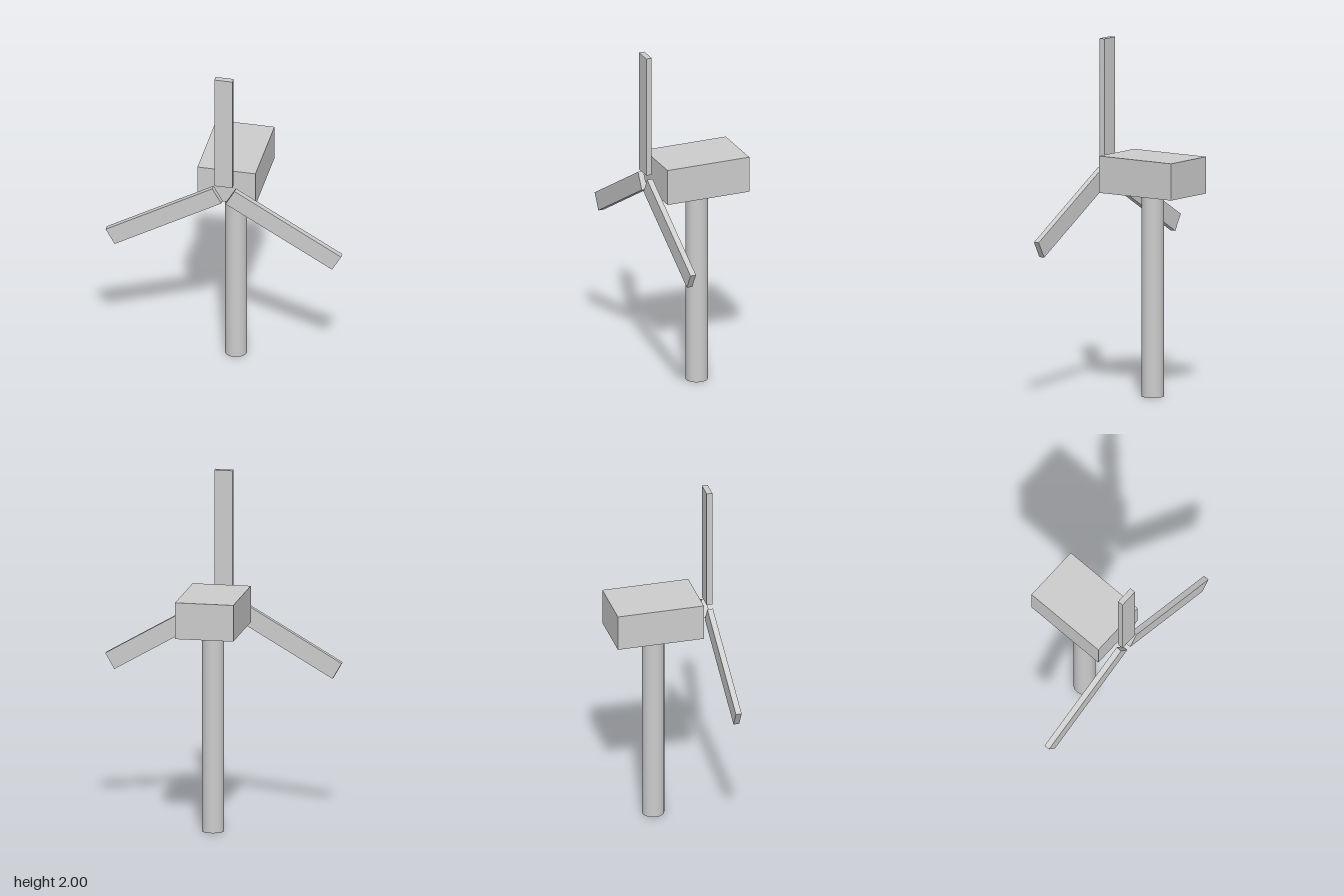
import * as THREE from 'three';

export function createModel() {
  const model = new THREE.Group();
  model.name = 'windTurbine';
  const grey = new THREE.MeshStandardMaterial({ color: 0xcccccc });
  grey.name = 'light grey';

  const HUB_Y = 1.252;
  const BODY_Z = -0.04;

  const add = (parent, name, geometry, x, y, z) => {
    const mesh = new THREE.Mesh(geometry, grey);
    mesh.name = name;
    mesh.position.set(x, y, z);
    parent.add(mesh);
    return mesh;
  };

  // Round tower, standing under the middle of the nacelle
  const towerHeight = 1.148;
  add(model, 'tower', new THREE.CylinderGeometry(0.0625, 0.0625, towerHeight, 32), 0, towerHeight / 2, BODY_Z);

  // Box-shaped nacelle
  add(model, 'nacelle', new THREE.BoxGeometry(0.332, 0.208, 0.498), 0, HUB_Y, BODY_Z);

  // Three flat blades, floating around an open hub
  const rotor = new THREE.Group();
  rotor.name = 'rotor';
  rotor.position.set(0, HUB_Y, 0.273);
  model.add(rotor);

  const inner = 0.044, outer = 0.748;
  const bladeShape = new THREE.BoxGeometry(0.104, outer - inner, 0.033);
  for (let i = 0; i < 3; i++) {
    const arm = new THREE.Group();
    arm.name = `bladeArm${i + 1}`;
    arm.rotation.z = (i * Math.PI * 2) / 3;
    add(arm, `blade${i + 1}`, bladeShape, 0, (inner + outer) / 2, 0);
    rotor.add(arm);
  }

  return model;
}
